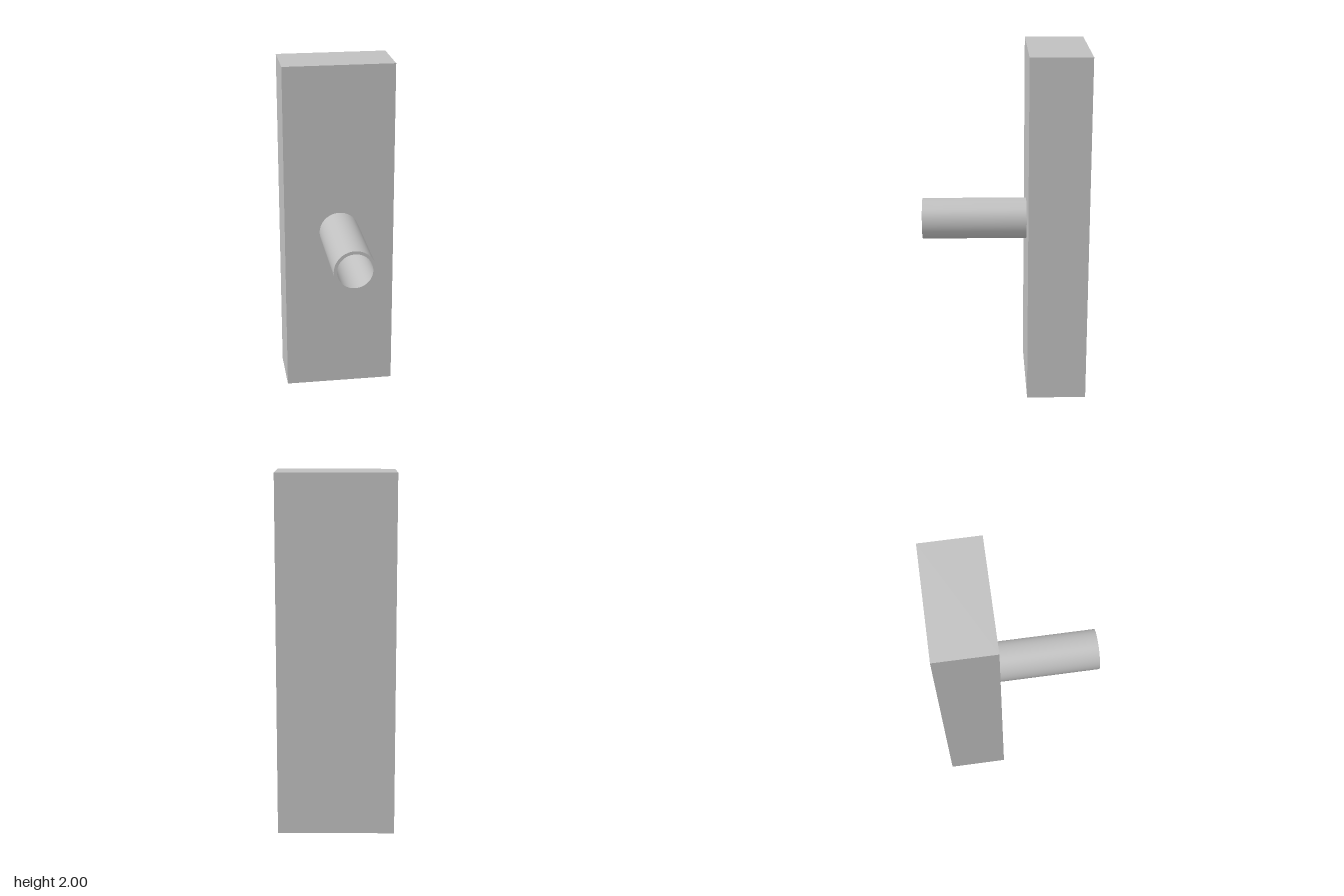
import * as THREE from 'three';

export function createModel() {
  const model = new THREE.Group();
  model.name = 'blockWithTube';
  const grey = new THREE.MeshStandardMaterial({ color: 0xc0c0c0 });
  grey.name = 'grey';

  const halfDepth = 0.47, blockDepth = 0.34;
  const blockFront = -halfDepth + blockDepth;

  // Upright rectangular block at the back
  const block = new THREE.Mesh(new THREE.BoxGeometry(0.65, 2, blockDepth), grey);
  block.name = 'block';
  block.position.set(0, 1, -halfDepth + blockDepth / 2);
  model.add(block);

  // Hollow tube out of the block's front; the repeated rim points keep edges sharp
  const outer = 0.118, inner = 0.1, length = halfDepth - blockFront;
  const profile = [
    [outer, 0], [outer, length], [outer, length],
    [inner, length], [inner, length], [inner, 0],
  ].map(([r, y]) => new THREE.Vector2(r, y));
  const tube = new THREE.Mesh(new THREE.LatheGeometry(profile, 64), grey);
  tube.name = 'tube';
  tube.rotation.x = Math.PI / 2;
  tube.position.set(0, 1, blockFront);
  model.add(tube);

  return model;
}
